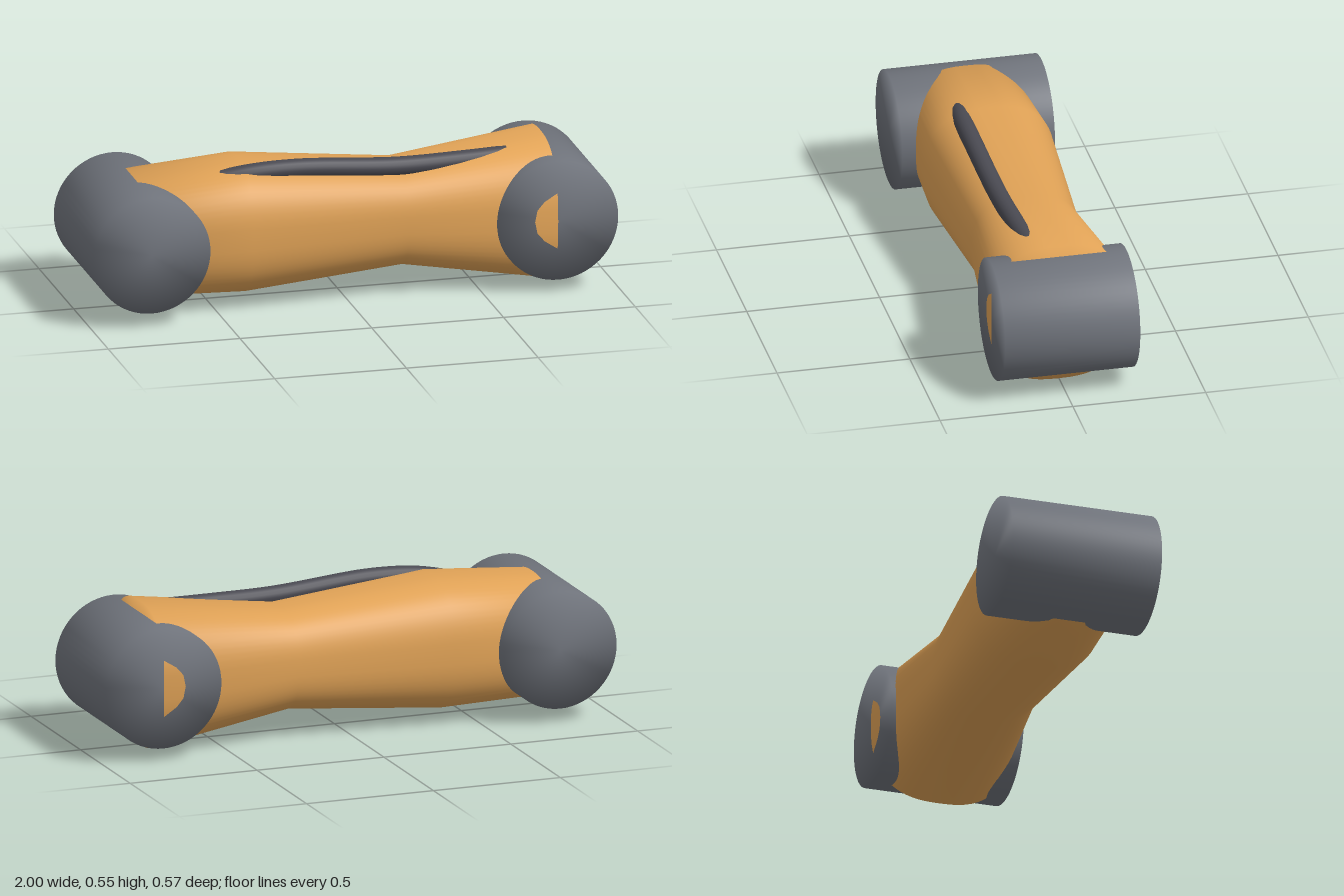
import * as THREE from 'three';
import { mergeVertices } from 'three/addons/utils/BufferGeometryUtils.js';

const paint = (color) => new THREE.MeshStandardMaterial({ color });

// Share vertices so shading runs softly over every edge
function soften(geometry) {
  geometry.deleteAttribute('normal');
  geometry.deleteAttribute('uv');
  const g = mergeVertices(geometry, 1e-4);
  g.computeVertexNormals();
  return g;
}

// Loft of squarish oval sections along x: [x, bottom, top, half width]
function loft(sections, power, sides) {
  const positions = [], index = [];
  const bend = (v) => Math.sign(v) * Math.abs(v) ** (2 / power);
  for (const [x, bottom, top, w] of sections) {
    for (let i = 0; i < sides; i++) {
      const a = (i / sides) * Math.PI * 2;
      positions.push(x, (top + bottom) / 2 + bend(Math.cos(a)) * (top - bottom) / 2, bend(Math.sin(a)) * w);
    }
  }
  const last = sections.length - 1;
  for (let s = 0; s < last; s++) {
    for (let i = 0; i < sides; i++) {
      const j = (i + 1) % sides, a = s * sides, b = a + sides;
      index.push(a + i, a + j, b + i, a + j, b + j, b + i);
    }
  }
  // End caps
  for (const s of [0, last]) {
    const [x, bottom, top] = sections[s];
    const c = positions.length / 3;
    positions.push(x, (top + bottom) / 2, 0);
    for (let i = 0; i < sides; i++) {
      const p = s * sides + i, q = s * sides + (i + 1) % sides;
      if (s === 0) index.push(c, q, p);
      else index.push(c, p, q);
    }
  }
  const g = new THREE.BufferGeometry();
  g.setAttribute('position', new THREE.Float32BufferAttribute(positions, 3));
  g.setIndex(index);
  g.computeVertexNormals();
  return g;
}

export function createModel() {
  const model = new THREE.Group();
  const add = (name, geometry, material) => {
    const mesh = new THREE.Mesh(geometry, material);
    mesh.name = name;
    model.add(mesh);
    return mesh;
  };

  // Limb shell, waisted between the two joints
  add('limbShell', loft([
    [-0.78, 0.05, 0.505, 0.225],
    [-0.38, 0.04, 0.535, 0.245],
    [0.22, 0.093, 0.474, 0.205],
    [0.77, 0, 0.547, 0.263],
  ], 2.6, 64), paint(0xe0a256));

  // Joint drums at both ends, lying along z
  const jointPaint = paint(0x6f737b);
  for (const [name, x, y, radius, depth] of [
    ['rightJoint', -0.778, 0.275, 0.222, 0.574],
    ['leftJoint', 0.772, 0.275, 0.228, 0.508],
  ]) {
    const drum = new THREE.CylinderGeometry(radius, radius, depth, 64).rotateX(Math.PI / 2);
    add(name, soften(drum), jointPaint).position.set(x, y, 0);
  }

  // Cable half sunk into the top of the shell
  const path = new THREE.CatmullRomCurve3([
    [-0.5, 0.478, 0.09],
    [-0.36, 0.503, 0.106],
    [-0.18, 0.51, 0.11],
    [0.2, 0.484, 0.1],
    [0.45, 0.484, 0.088],
    [0.67, 0.488, 0.075],
  ].map((p) => new THREE.Vector3(...p)));
  add('cable', new THREE.TubeGeometry(path, 48, 0.035, 16), paint(0x4a4a52));

  return model;
}
